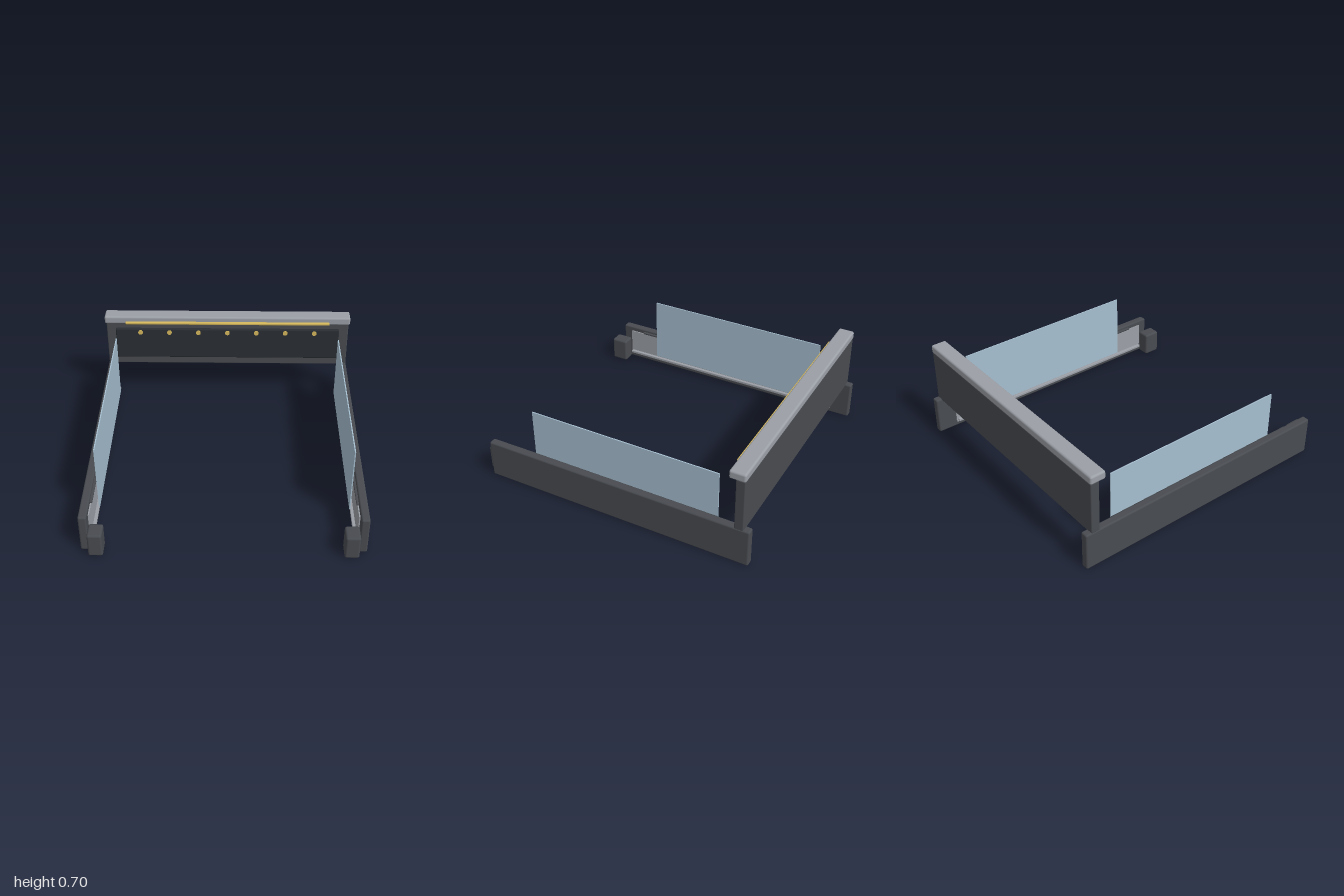
import * as THREE from 'three';
import { RoundedBoxGeometry } from 'three/addons/geometries/RoundedBoxGeometry.js';

const mat = (color) => new THREE.MeshStandardMaterial({ color });

export function createModel() {
  const group = new THREE.Group();
  const dark = mat(0x484b50);
  const black = mat(0x2a2e33);
  const silver = mat(0x9b9fa6);
  const gold = mat(0xd6b85c);
  const glass = mat(0xa6bfd0);

  const add = (name, geometry, material, x, y, z) => {
    const mesh = new THREE.Mesh(geometry, material);
    mesh.name = name;
    mesh.position.set(x, y, z);
    group.add(mesh);
    return mesh;
  };

  // Box given by its extents on each axis; r rounds the edges
  const box = (name, material, [x0, x1], [y0, y1], [z0, z1], r = 0) => {
    const size = [x1 - x0, y1 - y0, z1 - z0];
    const geometry = r ? new RoundedBoxGeometry(...size, 3, r) : new THREE.BoxGeometry(...size);
    return add(name, geometry, material, (x0 + x1) / 2, (y0 + y1) / 2, (z0 + z1) / 2);
  };

  // Rear panel with recessed-looking inset and top cap
  box('backPanel', dark, [-0.93, 0.93], [0.275, 0.66], [-0.957, -0.893], 0.008);
  box('backInset', black, [-0.86, 0.86], [0.34, 0.595], [-0.9, -0.873], 0.01);
  box('topCap', silver, [-0.935, 0.935], [0.655, 0.715], [-0.96, -0.847], 0.014);
  box('lightStrip', gold, [-0.775, 0.775], [0.662, 0.679], [-0.85, -0.826], 0.005);

  // Row of small round studs
  for (let i = -3; i <= 3; i++) {
    add('stud', new THREE.CylinderGeometry(0.018, 0.018, 0.008, 20), gold, i * 0.222, 0.58, -0.848)
      .rotation.x = Math.PI / 2;
  }

  // Mirrored side assemblies
  for (const [side, s] of [['left', 1], ['right', -1]]) {
    const span = (a, b) => (s > 0 ? [a, b] : [-b, -a]);
    box(side + 'SidePanel', dark, span(0.877, 0.933), [0.01, 0.285], [-1, 0.94], 0.012);
    box(side + 'InnerPlate', silver, span(0.869, 0.88), [0.045, 0.25], [-0.86, 0.87]);
    box(side + 'LowerRail', silver, span(0.848, 0.88), [0.055, 0.075], [-0.85, 0.865], 0.004);
    box(side + 'UpperRail', dark, span(0.861, 0.88), [0.252, 0.266], [-0.77, 0.76], 0.004);
    box(side + 'GlassPane', glass, span(0.838, 0.846), [0.1, 0.585], [-0.747, 0.62]);
    box(side + 'FrontBlock', dark, span(0.78, 0.877), [0.01, 0.185], [0.877, 1], 0.015);
  }

  // Keep the model standing on the ground plane
  group.children.forEach((mesh) => { mesh.position.y -= 0.01; });
  return group;
}
